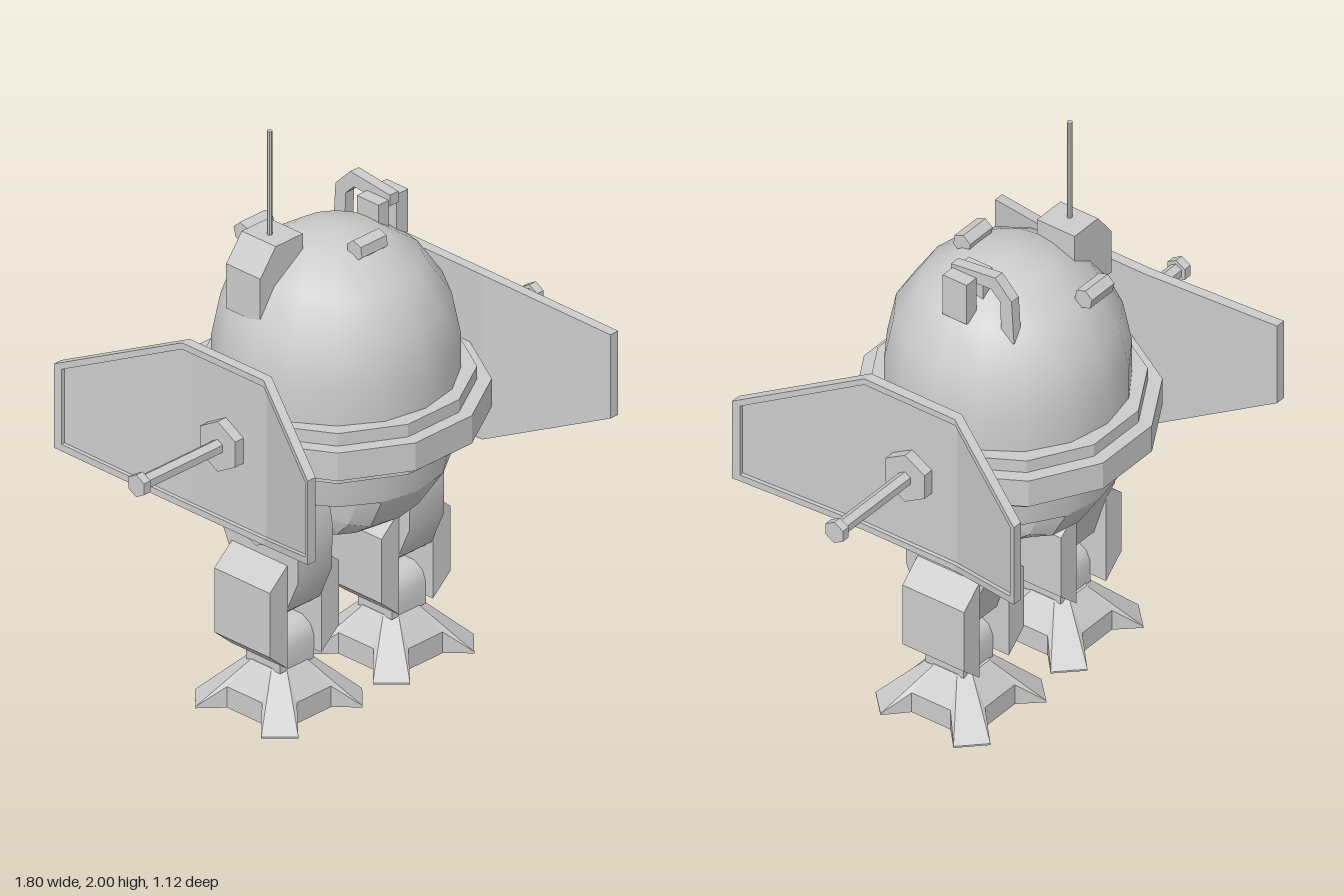
import * as THREE from 'three';
import { toCreasedNormals } from 'three/addons/utils/BufferGeometryUtils.js';

const smooth = new THREE.MeshStandardMaterial({ color: 0xcccccc, side: THREE.DoubleSide });
const flat = new THREE.MeshStandardMaterial({ color: 0xcccccc, flatShading: true });

function add(parent, name, geometry, material = flat) {
  const mesh = new THREE.Mesh(geometry, material);
  mesh.name = name;
  parent.add(mesh);
  return mesh;
}

function group(parent, name) {
  const g = new THREE.Group();
  g.name = name;
  parent.add(g);
  return g;
}

// Box given by its minimum and maximum on each axis
function box(x0, x1, y0, y1, z0, z1) {
  return new THREE.BoxGeometry(x1 - x0, y1 - y0, z1 - z0)
    .translate((x0 + x1) / 2, (y0 + y1) / 2, (z0 + z1) / 2);
}

// Outline of [x, y] points extruded from z0 to z1
function frontPrism(points, z0, z1) {
  const shape = new THREE.Shape(points.map(([x, y]) => new THREE.Vector2(x, y)));
  return new THREE.ExtrudeGeometry(shape, { depth: z1 - z0, bevelEnabled: false }).translate(0, 0, z0);
}

// Outline of [z, y] points extruded from x0 to x1
function sidePrism(points, x0, x1) {
  return frontPrism(points.map(([z, y]) => [-z, y]), x0, x1).rotateY(Math.PI / 2);
}

// Cylinder lying along x from x0 to x1, a corner pointing up
function rod(radius, sides, x0, x1, y) {
  return new THREE.CylinderGeometry(radius, radius, x1 - x0, sides)
    .rotateY(Math.PI / 2).rotateZ(-Math.PI / 2).translate((x0 + x1) / 2, y, 0);
}

function buildBody(model) {
  const body = group(model, 'body');
  const R = 0.395, TOP = 1.21, LOW = 0.94;
  const arc = (centre, i) => new THREE.Vector2(
    R * Math.cos(i * Math.PI / 8), centre + R * Math.sin(i * Math.PI / 8));

  // Dome and upper hull, ending at the ceiling of the hip openings
  const hull = [new THREE.Vector2(0, 0.785), arc(LOW, -1), arc(LOW, 0)];
  for (let i = 0; i <= 4; i++) hull.push(arc(TOP, i));
  add(body, 'hull', toCreasedNormals(new THREE.LatheGeometry(hull, 16), 0.75), smooth);

  // Belly between the legs: the lower dome flattened at both sides
  const belly = [-4, -3, -2, -1].map(i => arc(LOW, i));
  const keel = new THREE.LatheGeometry(belly, 16);
  const p = keel.attributes.position;
  for (let i = 0; i < p.count; i++) p.setX(i, THREE.MathUtils.clamp(p.getX(i), -0.148, 0.148));
  add(body, 'belly', toCreasedNormals(keel, 0.75), smooth);

  // Waist belt in two steps
  for (const [name, apothem, y0, y1] of [['innerBelt', 0.43, 0.915, 1.095], ['outerBelt', 0.475, 0.95, 1.05]]) {
    const r = apothem / Math.cos(Math.PI / 12);
    add(body, name, new THREE.CylinderGeometry(r, r, y1 - y0, 12)
      .rotateY(Math.PI / 12).translate(0, (y0 + y1) / 2, 0));
  }

  // Hatch handles lying on the dome
  for (const [name, x, y, z, tilt] of [['frontHandle', -0.005, 1.588, 0.143, 0.37], ['rearHandle', -0.077, 1.52, -0.285, -0.75]]) {
    const handle = add(body, name, rod(0.036, 6, -0.058, 0.058, 0));
    handle.position.set(x, y, z);
    handle.rotation.x = tilt + Math.PI / 6;
  }
}

function buildRoof(model) {
  const roof = group(model, 'roofEquipment');
  add(roof, 'antennaBase', frontPrism(
    [[-0.15, 1.4], [-0.15, 1.63], [-0.272, 1.63], [-0.342, 1.54], [-0.342, 1.38]], -0.15, 0));
  add(roof, 'antenna', new THREE.CylinderGeometry(0.009, 0.009, 0.39, 8).translate(-0.225, 1.805, -0.073));

  // Sight: arched arm carrying a box on each side
  add(roof, 'sightArm', sidePrism([[0.05, 1.655], [-0.125, 1.675], [-0.19, 1.61], [-0.2, 1.45],
    [-0.15, 1.45], [-0.145, 1.59], [-0.11, 1.625], [0.05, 1.615]], 0.192, 0.23));
  add(roof, 'sightBox', box(0.228, 0.28, 1.49, 1.642, -0.05, 0.045));
  add(roof, 'sightSideBox', box(0.145, 0.194, 1.535, 1.635, -0.05, 0.045));
}

function buildWing() {
  const wing = new THREE.Group();
  const Y = 1.015, FOLD = 0.18;

  // Panel piece whose outer thirds fold away from the body
  function panel(name, points, x0, x1) {
    const g = sidePrism(points.map(([z, y]) => [z, y + Y]), x0, x1);
    const p = g.attributes.position;
    for (let i = 0; i < p.count; i++)
      p.setX(i, p.getX(i) + 0.5 * Math.max(0, Math.abs(p.getZ(i)) - FOLD));
    g.computeVertexNormals();
    add(wing, name, g);
  }
  const octagon = (z, yEnd, yMid) => [[FOLD, yMid], [z, yEnd], [z, -yEnd], [FOLD, -yMid],
    [-FOLD, -yMid], [-z, -yEnd], [-z, yEnd], [-FOLD, yMid]];
  const outer = octagon(0.56, 0.15, 0.295), inner = octagon(0.537, 0.134, 0.272);

  panel('wingCentre', [outer[0], outer[3], outer[4], outer[7]], 0.475, 0.497);
  panel('wingFront', outer.slice(0, 4), 0.475, 0.497);
  panel('wingRear', outer.slice(4, 8), 0.475, 0.497);
  for (let i = 0; i < 8; i++) {
    const j = (i + 1) % 8;
    panel('wingRim', [outer[i], outer[j], inner[j], inner[i]], 0.497, 0.511);
  }

  // Gun on a hexagonal hub
  add(wing, 'gunHub', rod(0.09, 6, 0.49, 0.535, Y));
  add(wing, 'gunBarrel', rod(0.026, 6, 0.53, 0.88, Y));
  add(wing, 'gunMuzzle', rod(0.04, 6, 0.872, 0.902, Y));
  return wing;
}

// Foot with four diagonal toes, lofted through three loops of sixteen corners
function footGeometry() {
  const quarter = [ // base x, base z, edge height, top x, top z
    [0.077, 0.155, 0.075, 0.045, 0.079], [0.145, 0.228, 0.006, 0.045, 0.079],
    [0.228, 0.145, 0.006, 0.079, 0.045], [0.155, 0.077, 0.075, 0.079, 0.045]];
  const loops = [[], [], []];
  for (let q = 0; q < 4; q++) {
    const c = Math.round(Math.cos(q * Math.PI / 2)), s = Math.round(Math.sin(q * Math.PI / 2));
    const turn = (x, y, z) => [x * c - z * s, y, x * s + z * c];
    // Corners run clockwise, so quarters are added in the same sense
    for (const [x, z, h, tx, tz] of quarter) {
      const k = ((4 - q) % 4) * 4 + quarter.findIndex(v => v[0] === x);
      loops[0][k] = turn(x, 0, z);
      loops[1][k] = turn(x, h, z);
      loops[2][k] = turn(tx, 0.157, tz);
    }
  }
  const pos = [];
  for (let i = 0; i < 16; i++) {
    const j = (i + 1) % 16;
    for (let l = 0; l < 2; l++) {
      const a = loops[l][i], b = loops[l][j], d = loops[l + 1][i], e = loops[l + 1][j];
      pos.push(...a, ...b, ...e, ...a, ...e, ...d);
    }
    pos.push(...loops[2][i], ...loops[2][j], 0, 0.157, 0);
    pos.push(...loops[0][j], ...loops[0][i], 0, 0, 0);
  }
  const g = new THREE.BufferGeometry();
  g.setAttribute('position', new THREE.Float32BufferAttribute(pos, 3));
  g.computeVertexNormals();
  return g;
}

function buildLeg() {
  const leg = new THREE.Group();
  add(leg, 'hip', rod(0.095, 8, -0.11, 0.115, 0.69));
  add(leg, 'thigh', toCreasedNormals(sidePrism([[0.09, 0.785], [0.14, 0.74], [0.156, 0.66], [0.153, 0.5],
    [0.1, 0.38], [0.05, 0.34], [-0.09, 0.35], [-0.137, 0.5], [-0.174, 0.58], [-0.174, 0.7], [-0.1, 0.785]],
  -0.077, 0.077), 0.6), smooth);
  for (const side of [-1, 1])
    add(leg, 'shinPad', frontPrism([[0.076, 0.18], [0.156, 0.25], [0.156, 0.48], [0.076, 0.55]]
      .map(([x, y]) => [side * x, y]), -0.138, 0.107));
  add(leg, 'ankle', toCreasedNormals(sidePrism([[0.075, 0.15], [0.075, 0.23], [0.06, 0.265], [0.025, 0.287],
    [-0.025, 0.287], [-0.06, 0.265], [-0.075, 0.23], [-0.075, 0.15]], -0.077, 0.077), 0.75), smooth);
  add(leg, 'foot', footGeometry()).position.z = -0.006;
  return leg;
}

export function createModel() {
  const model = new THREE.Group();
  model.name = 'walker';
  buildBody(model);
  buildRoof(model);
  for (const [side, name] of [[1, 'left'], [-1, 'right']]) {
    const wing = buildWing();
    wing.name = name + 'Wing';
    if (side < 0) wing.rotation.y = Math.PI;
    model.add(wing);
    const leg = buildLeg();
    leg.name = name + 'Leg';
    leg.position.x = side * 0.252;
    model.add(leg);
  }
  return model;
}
